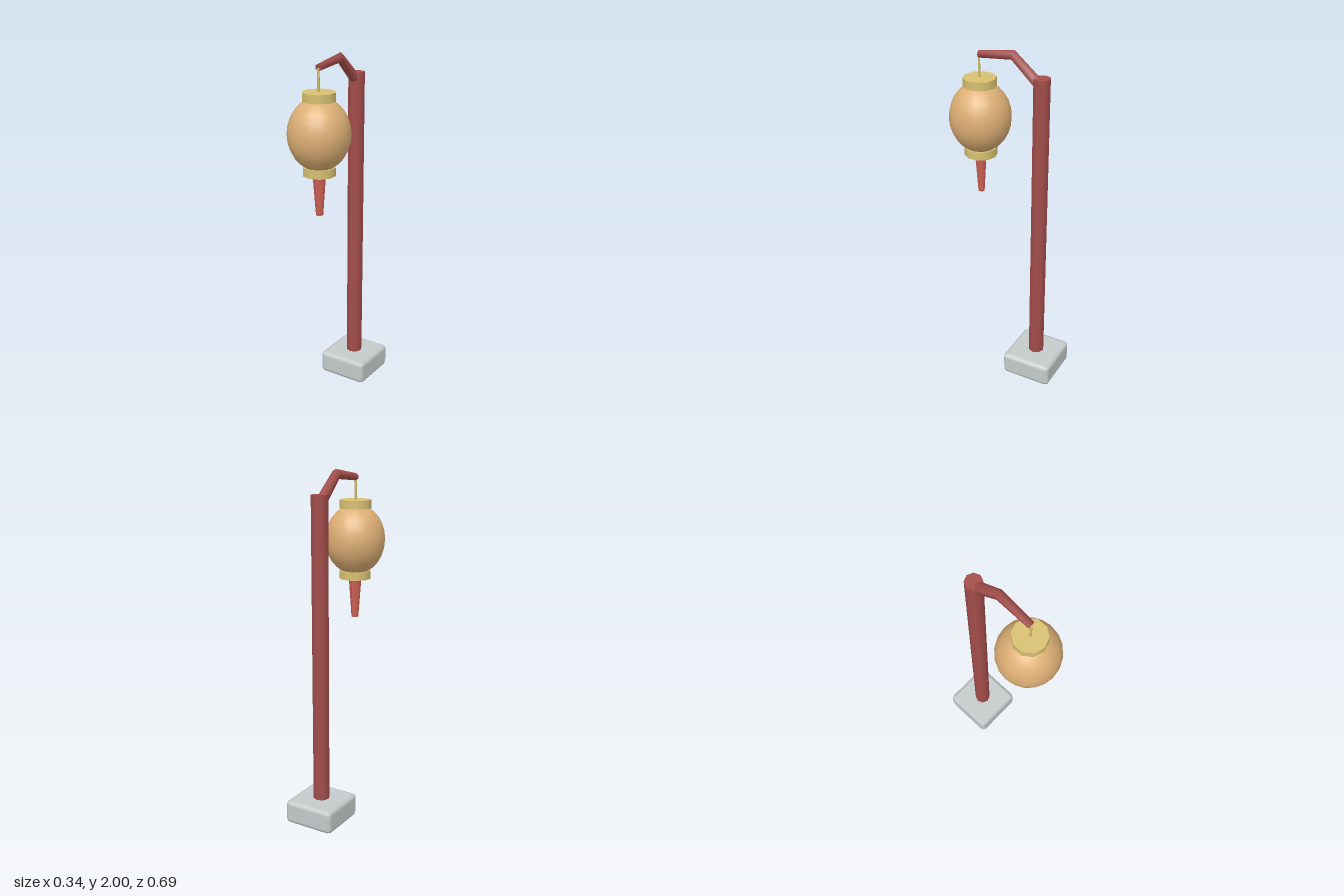
import * as THREE from 'three';
import { RoundedBoxGeometry } from 'three/addons/geometries/RoundedBoxGeometry.js';

const POST_Z = -0.195;
const LAMP_Z = 0.173;

const mat = (name, color) => {
  const m = new THREE.MeshStandardMaterial({ color });
  m.name = name;
  return m;
};

// Tapered six-sided bar whose three rings are moved onto a bent path, mitred at the bend
function bentArm() {
  const path = [[1.825, POST_Z], [1.973, -0.027], [1.947, 0.175]].map(([y, z]) => new THREE.Vector3(0, y, z));
  const geo = new THREE.CylinderGeometry(0.02, 0.032, 1, 6, 2);
  const first = path[1].clone().sub(path[0]).normalize();
  const last = path[2].clone().sub(path[1]).normalize();
  const middle = first.clone().add(last).normalize();
  const dirs = [first, middle, last];
  const pos = geo.attributes.position;
  for (let i = 0; i < pos.count; i++) {
    const k = Math.round((pos.getY(i) + 0.5) * 2);
    const z = pos.getZ(i) / (k === 1 ? middle.dot(first) : 1);
    const d = dirs[k];
    pos.setXYZ(i, pos.getX(i), path[k].y - d.z * z, path[k].z + d.y * z);
  }
  geo.computeVertexNormals();
  return geo;
}

export function createModel() {
  const group = new THREE.Group();
  group.name = 'lanternPost';

  const stone = mat('stone', 0xc4cbca);
  const wood = mat('redWood', 0xa34e4b);
  const paper = mat('lanternPaper', 0xdcae74);
  const gold = mat('gold', 0xd8c172);
  const red = mat('tasselRed', 0xcf6256);

  const add = (name, geo, material, y, z) => {
    const mesh = new THREE.Mesh(geo, material);
    mesh.name = name;
    mesh.position.set(0, y, z);
    group.add(mesh);
    return mesh;
  };
  // Upright cylinder given by its lower and upper heights
  const column = (name, rTop, rBottom, y0, y1, sides, material, z) =>
    add(name, new THREE.CylinderGeometry(rTop, rBottom, y1 - y0, sides), material, (y0 + y1) / 2, z);

  // Stone foot, post and arm
  add('base', new RoundedBoxGeometry(0.306, 0.137, 0.306, 1, 0.026), stone, 0.0685, POST_Z);
  column('post', 0.047, 0.047, 0.1, 1.876, 8, wood, POST_Z);
  add('arm', bentArm(), wood, 0, 0);

  // Hanging lantern
  column('cord', 0.007, 0.007, 1.8, 1.945, 6, gold, 0.175);
  add('lanternBody', new THREE.SphereGeometry(0.172, 20, 14), paper, 1.598, LAMP_Z).scale.y = 1.16;
  column('topCap', 0.092, 0.092, 1.775, 1.822, 10, gold, LAMP_Z);
  column('bottomCap', 0.092, 0.092, 1.374, 1.421, 10, gold, LAMP_Z);
  column('tassel', 0.037, 0.02, 1.145, 1.385, 6, red, LAMP_Z + 0.002);

  return group;
}
